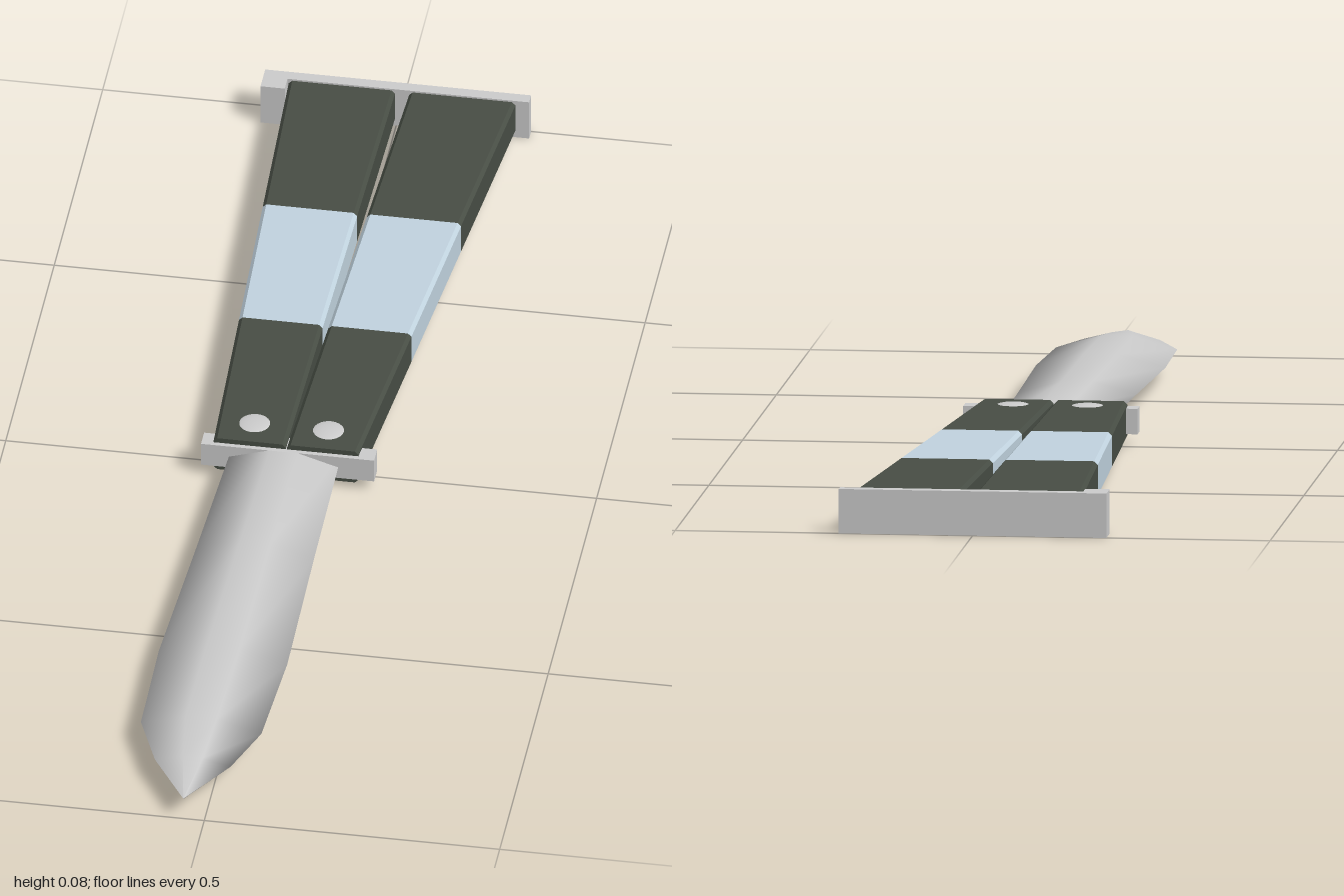
import * as THREE from 'three';

const material = (color, flatShading = false) => new THREE.MeshStandardMaterial({ color, flatShading });

// Skins equal-length rings of [x, y, z], ordered from +z to -z, counter-clockwise seen from +z
function loft(rings) {
  const n = rings[0].length, last = (rings.length - 1) * n, index = [];
  for (let k = 0; k < rings.length - 1; k++) {
    for (let i = 0; i < n; i++) {
      const a = k * n + i, b = k * n + (i + 1) % n;
      index.push(a, a + n, b, b, a + n, b + n);
    }
  }
  for (let i = 1; i < n - 1; i++) index.push(0, i, i + 1, last, last + i + 1, last + i);
  const geometry = new THREE.BufferGeometry();
  geometry.setAttribute('position', new THREE.Float32BufferAttribute(rings.flat(2), 3));
  geometry.setIndex(index);
  geometry.computeVertexNormals();
  return geometry;
}

// Chamfered rectangle across one handle
function handleRing(x0, x1, z) {
  const y0 = 0.008, y1 = 0.072, c = 0.006;
  return [[x0 + c, y0], [x1 - c, y0], [x1, y0 + c], [x1, y1 - c],
    [x1 - c, y1], [x0 + c, y1], [x0, y1 - c], [x0, y0 + c]].map(([x, y]) => [x, y, z]);
}

// Six-sided lens across the blade
function bladeRing([z, x0, x1, h]) {
  const y = 0.042, w = x1 - x0, a = x0 + w * 0.37, b = x1 - w * 0.37;
  return [[x0, y], [a, y - h], [b, y - h], [x1, y], [b, y + h], [a, y + h]].map(([px, py]) => [px, py, z]);
}

export function createModel() {
  const model = new THREE.Group();
  const grey = material(0xcccccc), greyFlat = material(0xcccccc, true);
  const dark = material(0x474d44, true), blue = material(0xc0d2de, true);

  const add = (name, geometry, mat, x = 0, y = 0, z = 0, parent = model) => {
    const mesh = new THREE.Mesh(geometry, mat);
    mesh.name = name;
    mesh.position.set(x, y, z);
    parent.add(mesh);
    return mesh;
  };
  const box = (name, x0, x1, y0, y1, z0, z1) => add(name,
    new THREE.BoxGeometry(x1 - x0, y1 - y0, z1 - z0), greyFlat,
    (x0 + x1) / 2, (y0 + y1) / 2, (z0 + z1) / 2);

  // Blade: z, left edge, right edge, half thickness
  add('blade', loft([
    [1, -0.036, -0.034, 0.0005],
    [0.9, -0.1, 0.028, 0.012],
    [0.8, -0.14, 0.064, 0.021],
    [0.6, -0.143, 0.075, 0.021],
    [0.3, -0.128, 0.071, 0.021],
    [0.0, -0.114, 0.069, 0.021],
  ].map(bladeRing)), grey);

  // Two flared handles, each with a pale band in the middle
  const stops = [0.032, -0.31, -0.63, -0.982];
  const bands = [['frontGrip', dark], ['middleBand', blue], ['rearGrip', dark]];
  const handles = [
    { name: 'rightHandle', outer: [-0.143, -0.182], inner: [-0.021, -0.002], rivetX: -0.082 },
    { name: 'leftHandle', outer: [0.102, 0.202], inner: [-0.019, 0.022], rivetX: 0.043 },
  ];
  for (const { name, outer, inner, rivetX } of handles) {
    const handle = new THREE.Group();
    handle.name = name;
    model.add(handle);
    const ringAt = (z) => {
      const t = (stops[0] - z) / (stops[0] - stops[3]);
      const xs = [outer, inner].map(([a, b]) => a + (b - a) * t).sort((a, b) => a - b);
      return handleRing(xs[0], xs[1], z);
    };
    bands.forEach(([part, mat], i) =>
      add(part, loft([ringAt(stops[i]), ringAt(stops[i + 1])]), mat, 0, 0, 0, handle));

    // Domed pivot rivets above and below
    for (const side of [1, -1]) {
      const dome = new THREE.SphereGeometry(0.03, 20, 6, 0, Math.PI * 2, 0, Math.PI / 2);
      const rivet = add('rivet', dome, grey, rivetX, 0.04 + side * 0.029, -0.02, handle);
      rivet.scale.y = 0.2;
      if (side < 0) rivet.rotation.x = Math.PI;
    }
  }

  // Cross guard at the pivot end
  box('guard', -0.163, 0.13, 0.02, 0.063, 0.008, 0.04);

  // End plate with a latch hook on one side
  box('endPlate', -0.225, 0.225, 0, 0.075, -1, -0.98);
  box('latchHook', -0.225, -0.184, 0, 0.075, -0.98, -0.952);

  return model;
}
